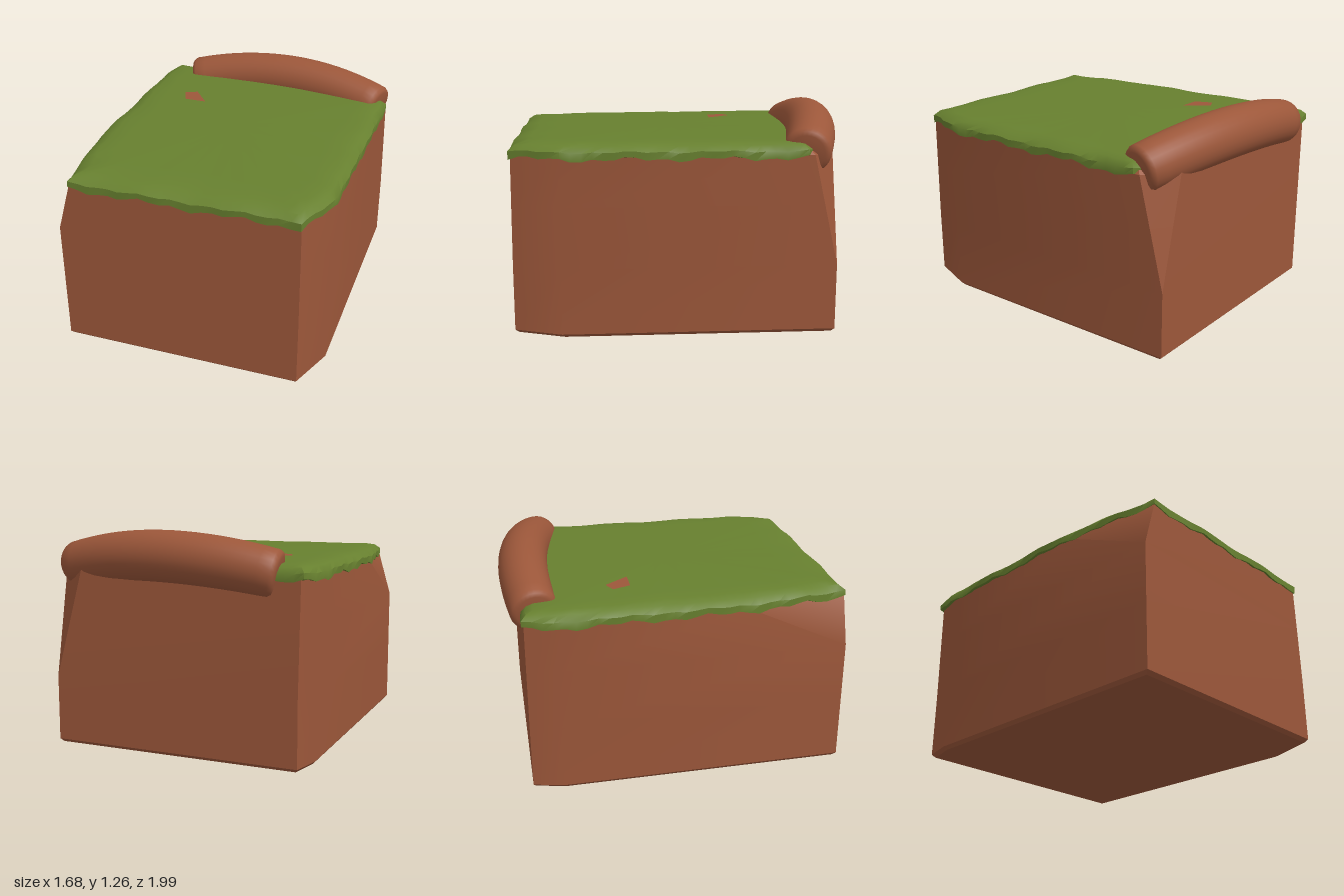
import * as THREE from 'three';
import { toCreasedNormals } from 'three/addons/utils/BufferGeometryUtils.js';

// Skin a stack of equal-length rings and close both ends with fans.
function loft(rings, crease) {
  const n = rings[0].length;
  const pts = rings.flat();
  const index = [];
  for (let i = 0; i < rings.length - 1; i++) {
    for (let j = 0; j < n; j++) {
      const a = i * n + j, b = i * n + (j + 1) % n;
      index.push(a, b, b + n, a, b + n, a + n);
    }
  }
  const centre = (ring) => ring.reduce((s, p) => s.add(p), new THREE.Vector3()).divideScalar(n);
  const first = pts.push(centre(rings[0])) - 1;
  const last = pts.push(centre(rings[rings.length - 1])) - 1;
  const top = (rings.length - 1) * n;
  for (let j = 0; j < n; j++) {
    const k = (j + 1) % n;
    index.push(first, k, j, last, top + j, top + k);
  }
  const g = new THREE.BufferGeometry().setFromPoints(pts);
  g.setIndex(index);
  return toCreasedNormals(g, crease);
}

function addMesh(group, name, geometry, material) {
  const mesh = new THREE.Mesh(geometry, material);
  mesh.name = name;
  group.add(mesh);
}

// Move a point horizontally away from (or, if negative, towards) the middle.
function spread(x, z, y, d) {
  const k = 1 + d / Math.hypot(x, z);
  return new THREE.Vector3(x * k, y, z * k);
}

// Irregular block with two corners cut away towards the top.
function bodyGeometry() {
  const base = [[-0.65, 0.99], [0.76, 0.86], [0.835, 0.58], [0.69, -0.965],
    [0.69, -0.965], [-0.79, -0.84], [-0.815, -0.66], [-0.65, 0.99]];
  const upper = [[-0.57, 0.98], [0.755, 0.855], [0.83, 0.58], [0.715, -0.82],
    [0.52, -0.94], [-0.8, -0.835], [-0.825, -0.66], [-0.71, 0.4]];
  const frontCut = [0, 7];
  const ring = (y, inset) => base.map(([x, z], j) => {
    const start = frontCut.includes(j) ? 0.75 : 0.4;
    const t = THREE.MathUtils.clamp((y - start) / (1.03 - start), 0, 1);
    return spread(x + (upper[j][0] - x) * t, z + (upper[j][1] - z) * t, y, -inset);
  });
  return loft([ring(0, 0.025), ring(0.02, 0), ring(0.4, 0), ring(0.75, 0),
    ring(1.03, 0), ring(1.055, 0.03)], 0.5);
}

// Thin turf layer with a ragged, rounded rim.
function turfGeometry() {
  const outline = [[-0.57, 0.98], [0.75, 0.86], [0.832, 0.57], [0.72, -0.78],
    [0.5, -0.9], [-0.815, -0.84], [-0.84, -0.67], [-0.715, 0.4]];
  const edge = [];
  outline.forEach(([x, z], i) => {
    const [x2, z2] = outline[(i + 1) % outline.length];
    const steps = Math.max(2, Math.round(Math.hypot(x2 - x, z2 - z) / 0.06));
    for (let s = 0; s < steps; s++) {
      edge.push([x + (x2 - x) * s / steps, z + (z2 - z) * s / steps]);
    }
  });
  const wave = (j, k) => (Math.sin(j * 1.9 + k) + Math.sin(j * 0.73 + k * 2.3)) / 2;
  const ring = (y, out, ragY, ragOut) => edge.map(([x, z], j) => {
    const lip = z > 0.8 ? -0.3 * Math.max(0, -out) : 0;
    return spread(x, z, y + ragY * wave(j, 1), out + lip + ragOut * wave(j, 4));
  });
  return loft([ring(1.02, -0.03, 0, 0), ring(1.015, 0.008, 0.018, 0.003),
    ring(1.055, 0.008, 0.008, 0.006), ring(1.085, -0.03, 0.004, 0.01),
    ring(1.098, -0.085, 0.001, 0.012), ring(1.1, -0.2, 0, 0)], 0.8);
}

// Arched roll, highest and furthest back in the middle.
function rollGeometry() {
  const rings = [];
  const addRing = (u, r) => {
    const c = new THREE.Vector3(0.015 + 0.65 * u, 1.115 - 0.075 * u * u, -0.855 + 0.075 * u * u);
    const tangent = new THREE.Vector3(0.65, -0.15 * u, 0.15 * u).normalize();
    const side = tangent.clone().cross(new THREE.Vector3(0, 1, 0)).normalize();
    const up = side.clone().cross(tangent);
    rings.push(Array.from({ length: 28 }, (_, j) => {
      const a = j / 28 * Math.PI * 2;
      return c.clone().addScaledVector(up, r * Math.cos(a)).addScaledVector(side, r * Math.sin(a));
    }));
  };
  addRing(-1.02, 0.1);
  addRing(-1.01, 0.122);
  for (let i = 0; i <= 20; i++) {
    const u = -0.98 + 0.098 * i;
    addRing(u, 0.145 - 0.012 * u * u);
  }
  addRing(1.01, 0.122);
  addRing(1.02, 0.1);
  return loft(rings, 0.8);
}

// Bare spot lying just above the turf.
function patchGeometry() {
  const shape = new THREE.Shape([[-0.47, 0.24], [-0.33, 0.25], [-0.45, 0.38], [-0.52, 0.34]]
    .map(([x, y]) => new THREE.Vector2(x, y)));
  return new THREE.ShapeGeometry(shape).rotateX(-Math.PI / 2).translate(0, 1.103, 0);
}

export function createModel() {
  const group = new THREE.Group();
  group.name = 'turfBlock';
  const clay = new THREE.MeshStandardMaterial({ color: 0x9c573a });
  clay.name = 'clay brown';
  const grass = new THREE.MeshStandardMaterial({ color: 0x67802f });
  grass.name = 'grass green';

  addMesh(group, 'body', bodyGeometry(), clay);
  addMesh(group, 'turf', turfGeometry(), grass);
  addMesh(group, 'barePatch', patchGeometry(), clay);
  addMesh(group, 'backRoll', rollGeometry(), clay);
  return group;
}
